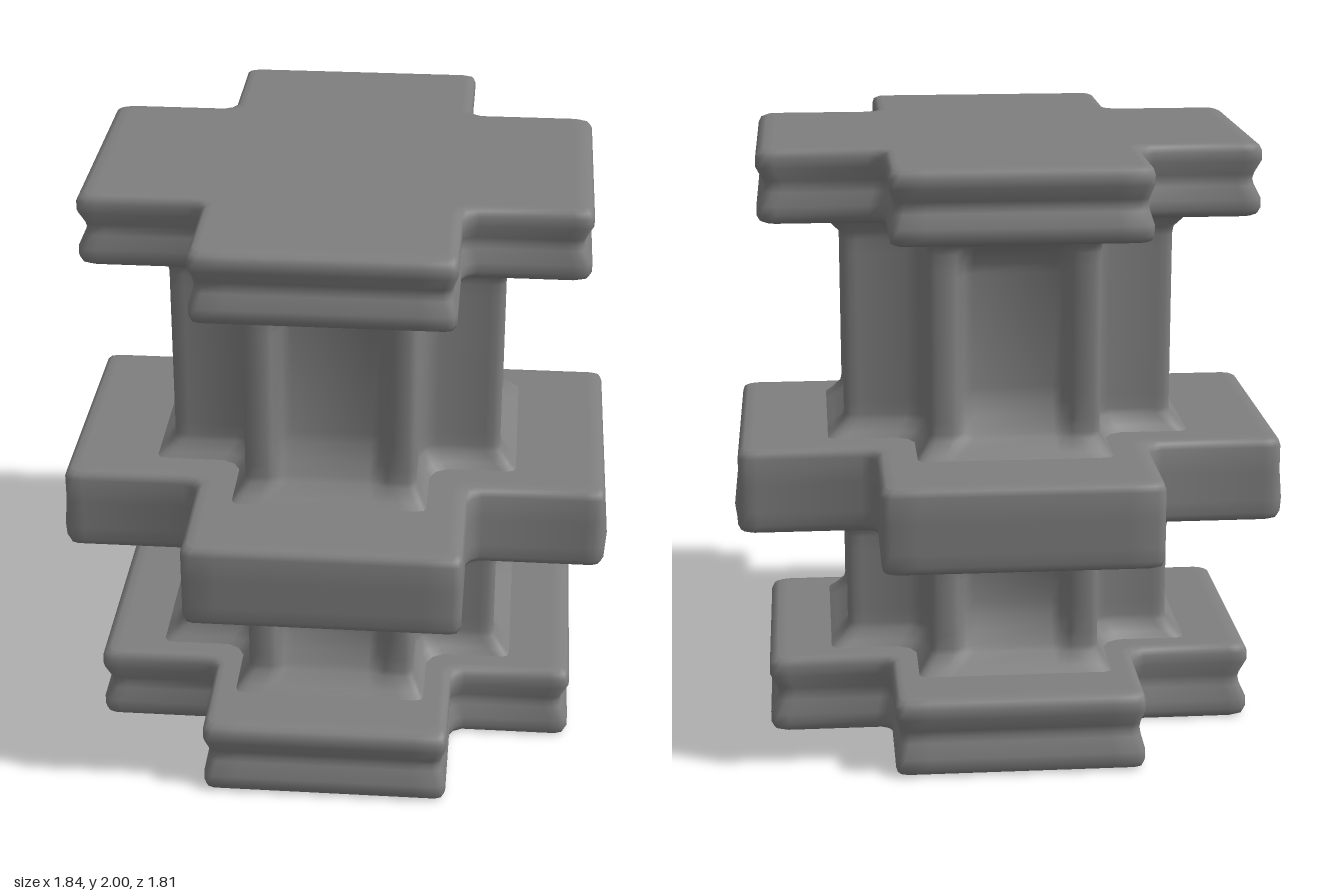
import * as THREE from 'three';
import { toCreasedNormals } from 'three/addons/utils/BufferGeometryUtils.js';

const material = new THREE.MeshStandardMaterial({ color: 0x7f7f7f });

// Plus-shaped outline: arm reach a, half width b, corner radius r,
// inner fillet f, panel recess d on each arm end, bulge on the x arms.
function crossRing({ y, a, b, r = 0.03, f = 0.05, d = 0, bulge = 0 }) {
  const ring = [];
  for (let arm = 0; arm < 4; arm++) {
    const e = a + (arm % 2 === 0 ? bulge : 0);
    const half = [
      [b + 0.35 * f, b + 0.35 * f],
      [b + f, b],
      [a - 2 * r, b],
      [a - r, b],
      [a - 0.29 * r, b - 0.29 * r],
      [a + (e - a) * 0.5, b - r],
      [e, b * 0.74],
      [e - d * 0.15, b * 0.67],
      [e - d * 0.8, b * 0.57],
      [e - d, b * 0.46],
    ];
    const arc = half.map(([u, w]) => [u, -w]).concat(half.slice(1).reverse());
    const c = [1, 0, -1, 0][arm], s = [0, 1, 0, -1][arm];
    for (const [u, w] of arc) ring.push([u * c - w * s, y, u * s + w * c]);
  }
  return ring;
}

// Skin a stack of outlines from bottom to top, optionally closing both ends.
function loft(name, sections, capped) {
  const rings = sections.map(crossRing);
  const n = rings[0].length;
  const pos = rings.flat(2);
  const index = [];
  for (let k = 0; k < rings.length - 1; k++) {
    for (let i = 0; i < n; i++) {
      const j = (i + 1) % n;
      const p = k * n + i, q = k * n + j;
      index.push(p, p + n, q, q, p + n, q + n);
    }
  }
  if (capped) {
    const base = rings.length * n, top = (rings.length - 1) * n;
    pos.push(0, sections[0].y, 0, 0, sections.at(-1).y, 0);
    for (let i = 0; i < n; i++) {
      const j = (i + 1) % n;
      index.push(base, i, j, base + 1, top + j, top + i);
    }
  }
  const geo = new THREE.BufferGeometry();
  geo.setAttribute('position', new THREE.Float32BufferAttribute(pos, 3));
  geo.setIndex(index);
  const mesh = new THREE.Mesh(toCreasedNormals(geo, 1.2), material);
  mesh.name = name;
  return mesh;
}

// End slab with a shallow groove running around its edge.
function endPlate(name, y0, y1) {
  const h = y1 - y0;
  const profile = [[0, 0.06], [0, 0.028], [0.035, 0.009], [0.11, 0], [0.24, 0], [0.42, 0.022],
    [0.5, 0.027], [0.58, 0.022], [0.76, 0], [0.89, 0], [0.965, 0.009], [1, 0.028], [1, 0.06]];
  const sections = profile.map(([t, inset]) => (
    { y: y0 + t * h, a: 0.82 - inset, b: 0.41 - inset * 0.6 }));
  return loft(name, sections, true);
}

// Cross-shaped shaft, flared at both ends, with a soft recessed panel on each arm.
function shaft(name, y0, y1) {
  const profile = [
    [y0 - 0.01, 0.07, 0], [y0 + 0.02, 0.035, 0], [y0 + 0.055, 0.004, 0.015],
    [y0 + 0.075, 0, 0.025], [y0 + 0.12, 0, 0.05], [y0 + 0.17, 0, 0.073], [y0 + 0.21, 0, 0.08],
    [y1 - 0.16, 0, 0.08], [y1 - 0.125, 0, 0.072], [y1 - 0.08, 0, 0.04],
    [y1 - 0.055, 0.004, 0.02], [y1 - 0.02, 0.035, 0], [y1 + 0.01, 0.07, 0],
  ];
  return loft(name, profile.map(([y, flare, d]) => (
    { y, a: 0.55 + flare, b: 0.28 + flare * 0.7, f: 0.06, r: 0.025, d })), false);
}

export function createModel() {
  const model = new THREE.Group();
  model.name = 'crossColumn';

  model.add(endPlate('basePlate', 0, 0.265));
  model.add(shaft('lowerShaft', 0.265, 0.73));

  // Wider plain collar, bulging slightly on its two side arms
  const collar = [[0.727, 0.05, 0], [0.727, 0.02, 0], [0.735, 0.006, 0.005], [0.755, 0, 0.01],
    [0.8, 0, 0.016], [0.9, 0, 0], [0.985, 0, 0], [1.004, 0.006, 0], [1.012, 0.02, 0], [1.012, 0.05, 0]];
  model.add(loft('collar', collar.map(([y, inset, bulge]) => (
    { y, a: 0.905 - inset, b: 0.45 - inset, bulge })), true));

  model.add(shaft('upperShaft', 1.01, 1.76));
  model.add(endPlate('topPlate', 1.76, 2));
  return model;
}
